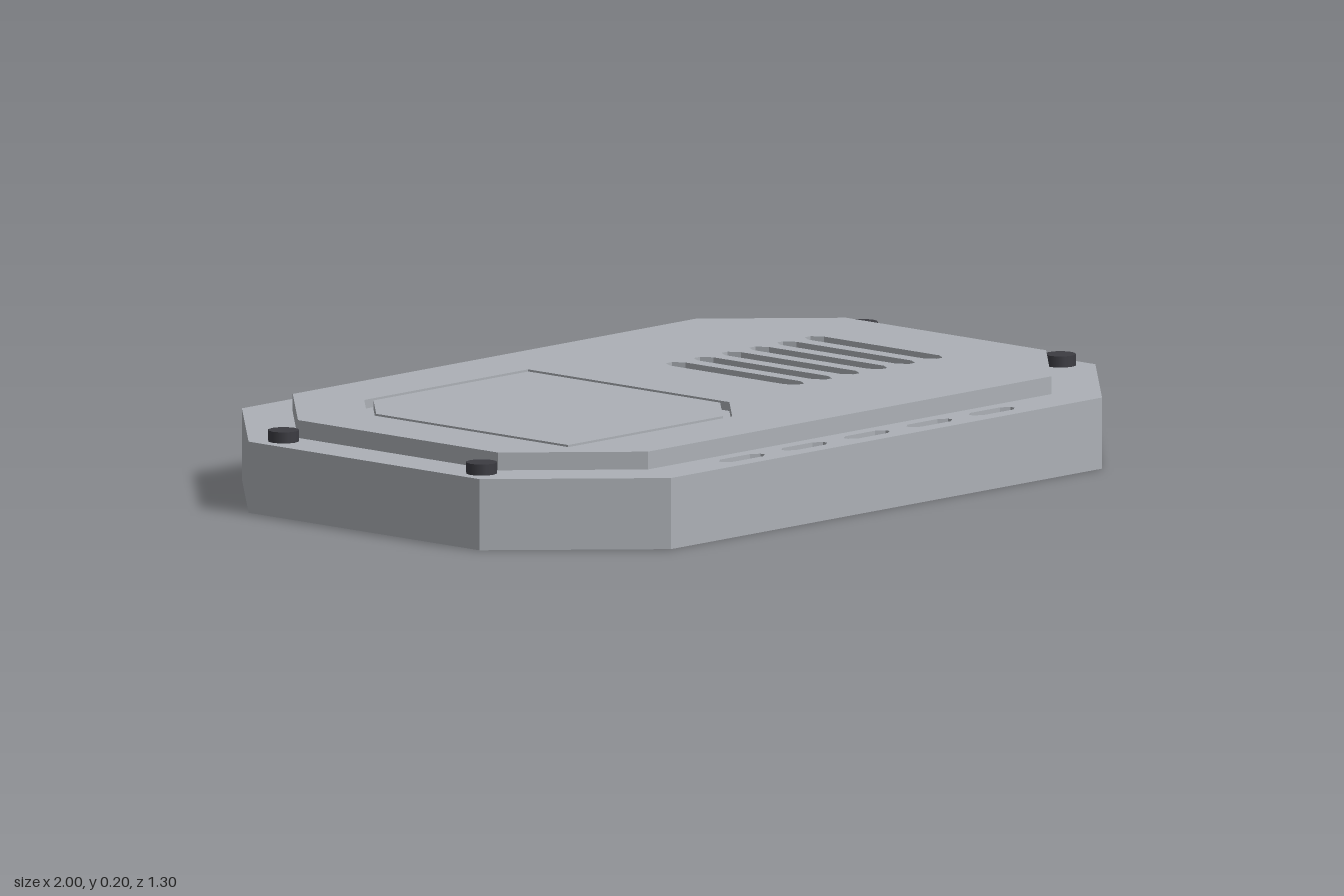
import * as THREE from 'three';

const shellMat = new THREE.MeshStandardMaterial({ color: 0xacb0b6 });
shellMat.name = 'shellGrey';
const lightMat = new THREE.MeshStandardMaterial({ color: 0x5aa3d0 });
lightMat.name = 'lightBlue';
const boltMat = new THREE.MeshStandardMaterial({ color: 0x3c3c42 });
boltMat.name = 'boltDark';

// Outline of a rectangle with cut corners; cuts = [backRight, backLeft, frontLeft, frontRight] as [dx, dz]
function outline(cx, cz, hw, hd, cuts) {
  const signs = [[1, 1], [-1, 1], [-1, -1], [1, -1]];
  const pts = [];
  signs.forEach(([sx, sy], i) => {
    const [dx, dz] = cuts[i];
    const x = cx + sx * hw, y = -cz + sy * hd;
    if (!dx) { pts.push(new THREE.Vector2(x, y)); return; }
    const a = new THREE.Vector2(x, y - sy * dz);
    const b = new THREE.Vector2(x - sx * dx, y);
    pts.push(...(sx * sy > 0 ? [a, b] : [b, a]));
  });
  return pts;
}
const same = (dx, dz = dx) => Array(4).fill([dx, dz]);

// Flat slab from y0 to y1 with optional through holes
function slab(name, pts, y0, y1, mat, holes = []) {
  const shape = new THREE.Shape(pts);
  shape.holes = holes.map((h) => new THREE.Path(h));
  const geo = new THREE.ExtrudeGeometry(shape, { depth: y1 - y0, bevelEnabled: false });
  geo.rotateX(-Math.PI / 2).translate(0, y0, 0);
  const mesh = new THREE.Mesh(geo, mat);
  mesh.name = name;
  return mesh;
}

export function createModel() {
  const model = new THREE.Group();
  model.name = 'armourPanel';

  // Base with recessed light slots along the front and back edges
  const base = outline(0, 0, 1, 0.65, same(0.3));
  const slots = [];
  for (const z of [-0.59, 0.59]) {
    for (let i = -2; i <= 2; i++) slots.push(outline(i * 0.203, z, 0.068, 0.02, same(0.02, 0.014)));
  }
  model.add(slab('baseLower', base, 0, 0.14, shellMat));
  model.add(slab('baseUpper', base, 0.14, 0.16, shellMat, slots));
  slots.forEach((s) => model.add(slab('edgeLight', s, 0.14, 0.147, lightMat)));

  // Raised cover with vent slots and an opening for the hatch
  const vents = [];
  for (let i = 0; i < 6; i++) vents.push(outline(0.205 + i * 0.09, 0, 0.026, 0.2, same(0.016, 0.026)));
  const hatchCuts = (c) => [[0, 0], [c, c], [0, 0], [c, c]];
  const hatchHole = outline(-0.402, 0, 0.331, 0.37, hatchCuts(0.13));
  const cover = outline(0, 0, 0.89, 0.538, same(0.235));
  model.add(slab('cover', cover, 0.16, 0.2, shellMat, [...vents, hatchHole]));

  // Hatch surrounded by a narrow groove
  model.add(slab('grooveFloor', hatchHole, 0.16, 0.18, shellMat));
  model.add(slab('hatch', outline(-0.402, 0, 0.312, 0.351, hatchCuts(0.121)), 0.18, 0.2, shellMat));

  // Corner bolts
  for (const x of [-0.94, 0.94]) {
    for (const z of [-0.3, 0.3]) {
      const bolt = new THREE.Mesh(new THREE.CylinderGeometry(0.035, 0.035, 0.025, 12), boltMat);
      bolt.name = 'bolt';
      bolt.position.set(x, 0.1725, z);
      model.add(bolt);
    }
  }
  return model;
}
